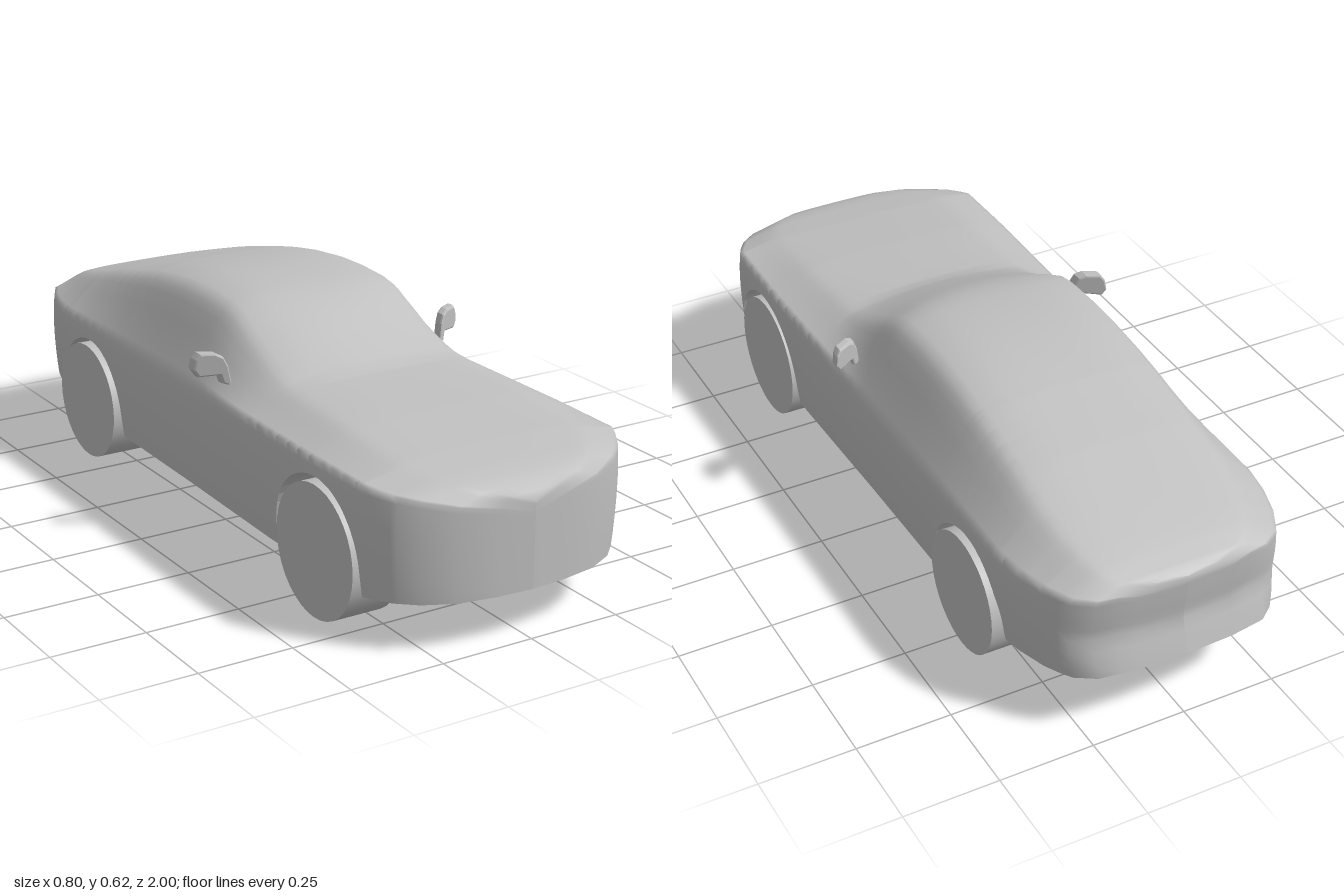
import * as THREE from 'three';

// Piecewise-linear lookup in a [z, value] table with falling z
function lookup(table, z) {
  if (z >= table[0][0]) return table[0][1];
  for (let i = 1; i < table.length; i++) {
    const [z0, a] = table[i - 1], [z1, b] = table[i];
    if (z >= z1) return a + (b - a) * (z0 - z) / (z0 - z1);
  }
  return table[table.length - 1][1];
}

// Centreline height, half width and lower edge along the car
const TOP = [[1, 0.345], [0.993, 0.37], [0.975, 0.388], [0.935, 0.404], [0.89, 0.413], [0.8, 0.428],
  [0.6, 0.45], [0.42, 0.464], [0.36, 0.469], [0.32, 0.48], [0.25, 0.515], [0.15, 0.568], [0.1, 0.592],
  [0.05, 0.608], [0, 0.616], [-0.1, 0.622], [-0.2, 0.62], [-0.3, 0.609], [-0.4, 0.591], [-0.6, 0.541],
  [-0.8, 0.481], [-0.93, 0.441], [-0.975, 0.425], [-0.99, 0.41]];
const WIDTH = [[1, 0], [0.993, 0.1], [0.975, 0.2], [0.935, 0.28], [0.89, 0.328], [0.85, 0.353],
  [0.82, 0.367], [0.6, 0.371], [0, 0.362], [-0.7, 0.358], [-0.78, 0.345], [-0.86, 0.32],
  [-0.93, 0.283], [-0.965, 0.235], [-0.984, 0.13], [-0.99, 0]];
const BOTTOM = [[1, 0.127], [0.8, 0.12], [0.4, 0.118], [-0.39, 0.13], [-0.72, 0.158], [-0.9, 0.165], [-0.99, 0.185]];
// Back panel hollow, by height
const TAIL = [[0.43, 0.012], [0.4, 0.004], [0.34, 0.01], [0.28, 0.018], [0.22, 0], [0.19, -0.01]];
// Upper section: fraction of width, fraction of height above the shoulder
const UPPER = [[0, 1], [0.14, 0.999], [0.27, 0.993], [0.4, 0.98], [0.5, 0.955], [0.6, 0.915], [0.66, 0.875],
  [0.7, 0.8], [0.74, 0.71], [0.81, 0.5], [0.89, 0.26], [0.95, 0.1], [0.985, 0]];
const LOWER = [0.06, 0.13, 0.21, 0.3, 0.42, 0.55, 0.7, 0.85, 1];

const AXLES = [
  { name: 'front', z: 0.633, y: 0.177, arch: 0.183, tyreY: 0.17, tyre: 0.17 },
  { name: 'rear', z: -0.555, y: 0.187, arch: 0.172, tyreY: 0.186, tyre: 0.16 },
];

function archHeight(z) {
  for (const a of AXLES) {
    const d = Math.abs(z - a.z);
    if (d <= a.arch + 1e-6) return a.y + Math.sqrt(Math.max(0, a.arch ** 2 - d * d));
  }
  return 0;
}

// Half section at z, from the centre of the top to the lower edge
function halfSection(z) {
  const w = lookup(WIDTH, z), yB = lookup(BOTTOM, z);
  const yS = Math.min(0.4, lookup(TOP, z) - 0.025), arch = archHeight(z);
  const sweep = THREE.MathUtils.smoothstep(z, 0, 0.15) * (1 - THREE.MathUtils.smoothstep(z, 0.4, 0.6));
  const points = UPPER.map(([fx, fy]) => {
    const x = fx * w;
    return [x, yS + fy * (lookup(TOP, z + 0.8 * sweep * x * x) - yS)];
  });
  for (const t of LOWER) {
    const y = Math.max(yS + (yB - yS) * t, arch);
    const u = (y - yB) / (yS - yB);
    const f = u < 0.7 ? 1 - 0.035 * (1 - u / 0.7) ** 2 : 1 - 0.015 * ((u - 0.7) / 0.3) ** 2;
    points.push([w * f, y]);
  }
  return points;
}

// Stations along the car, close together at the ends and round the arches
function stations() {
  const list = [...TOP, ...WIDTH].map(p => p[0]);
  for (let z = -0.9; z < 0.95; z += 0.05) list.push(z);
  for (const a of AXLES) {
    for (let i = 0; i <= 20; i++) list.push(a.z + a.arch * Math.cos(Math.PI * i / 20));
    list.push(a.z + a.arch + 0.002, a.z - a.arch - 0.002);
  }
  return [...new Set(list.map(z => Math.round(z * 1e4) / 1e4))].sort((a, b) => a - b);
}

// Skin a strip through one row of points per station
function loft(zs, section) {
  const positions = [], index = [];
  let n = 0;
  zs.forEach((z, i) => {
    const row = section(z);
    n = row.length;
    const blend = 1 - THREE.MathUtils.smoothstep(z, -0.97, -0.88);
    row.forEach(([x, y], j) => {
      positions.push(x, y, z + blend * lookup(TAIL, y));
      if (i && j) {
        const c = i * n + j, p = c - n;
        index.push(p - 1, c - 1, p, c - 1, c, p);
      }
    });
  });
  const g = new THREE.BufferGeometry();
  g.setAttribute('position', new THREE.Float32BufferAttribute(positions, 3));
  g.setIndex(index);
  return g;
}

const mirrorRow = half => [...half.slice(1).reverse().map(([x, y]) => [-x, y]), ...half];

function undersideRow(z) {
  const [x, y] = halfSection(z).pop();
  const inner = Math.min(0.17, x), yB = lookup(BOTTOM, z);
  return [[x, y], [inner, y], [inner, yB], [-inner, yB], [-inner, y], [-x, y]];
}

// Wing mirror head and stalk, swept back towards the tip
function mirrorGeometry() {
  const outline = [[0.318, 0.435], [0.331, 0.44], [0.337, 0.463], [0.385, 0.458], [0.394, 0.473],
    [0.39, 0.498], [0.382, 0.51], [0.35, 0.51], [0.335, 0.502], [0.326, 0.482]];
  const shape = new THREE.Shape(outline.map(p => new THREE.Vector2(...p)));
  const g = new THREE.ExtrudeGeometry(shape, {
    depth: 0.016, bevelThickness: 0.008, bevelSize: 0.005, bevelSegments: 2,
  });
  const p = g.attributes.position;
  for (let i = 0; i < p.count; i++) p.setZ(i, p.getZ(i) + 0.123 - 0.55 * (p.getX(i) - 0.335));
  g.computeVertexNormals();
  return g;
}

export function createModel() {
  const model = new THREE.Group();
  model.name = 'car';
  const grey = new THREE.MeshStandardMaterial({ color: 0xbfbfbf });
  grey.name = 'light grey';
  const add = (geometry, name) => {
    const mesh = new THREE.Mesh(geometry, grey);
    mesh.name = name;
    model.add(mesh);
    return mesh;
  };

  // Body shell, then the floor with its four wheel wells
  const zs = stations();
  const shell = loft(zs, z => mirrorRow(halfSection(z)));
  shell.computeVertexNormals();
  add(shell, 'bodyShell');
  const floor = loft(zs, undersideRow).toNonIndexed();
  floor.computeVertexNormals();
  add(floor, 'floorAndWheelWells');

  // Wheels
  for (const a of AXLES) {
    for (const side of [1, -1]) {
      const wheel = add(new THREE.CylinderGeometry(a.tyre, a.tyre, 0.135, 36),
        a.name + (side > 0 ? 'LeftWheel' : 'RightWheel'));
      wheel.rotation.z = Math.PI / 2;
      wheel.position.set(side * 0.303, a.tyreY, a.z);
    }
  }

  // Wing mirrors; the right one is a reflection
  add(mirrorGeometry(), 'leftMirror');
  add(mirrorGeometry(), 'rightMirror').scale.x = -1;
  return model;
}
